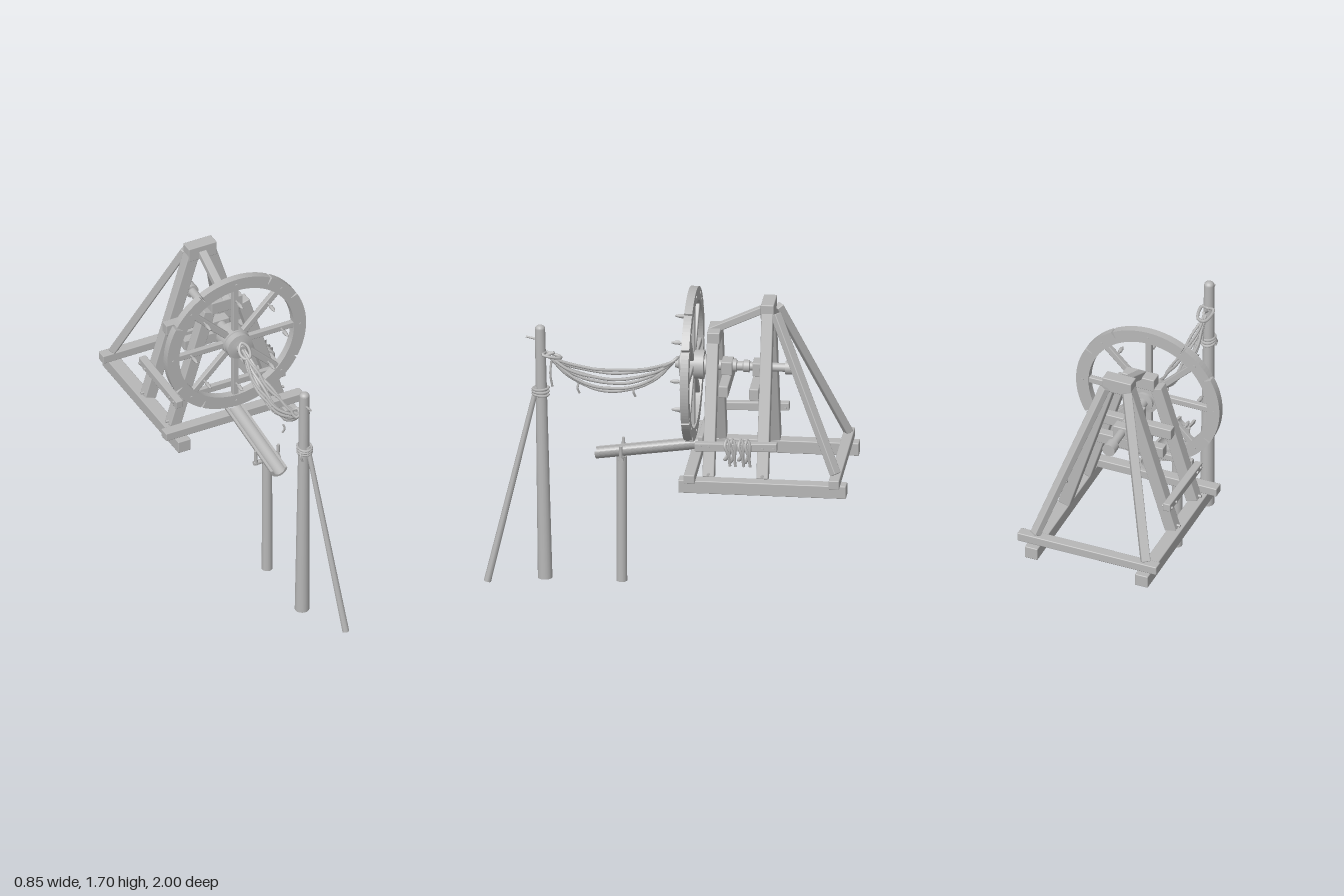
import * as THREE from 'three';
import { RoundedBoxGeometry } from 'three/addons/geometries/RoundedBoxGeometry.js';

const V = (x, y, z) => new THREE.Vector3(x, y, z);

export function createModel() {
  const root = new THREE.Group();
  root.name = 'ropeMakingWheel';
  const wood = new THREE.MeshStandardMaterial({ color: 0xb8b8b8 });
  wood.name = 'weathered grey';

  const add = (name, geometry, parent = root) => {
    const m = new THREE.Mesh(geometry, wood);
    m.name = name;
    parent.add(m);
    return m;
  };
  const box = (name, w, h, d, x, y, z) => {
    const m = add(name, new RoundedBoxGeometry(w, h, d, 1, 0.005));
    m.position.set(x, y, z);
    return m;
  };
  // squared timber running from a to b
  const beam = (name, a, b, w, h, up = V(0, 1, 0)) => {
    const m = add(name, new RoundedBoxGeometry(w, h, a.distanceTo(b), 1, 0.005));
    m.position.copy(a).lerp(b, 0.5);
    m.up.copy(up);
    m.lookAt(b);
    return m;
  };
  // round timber from a to b
  const rod = (name, a, b, r0, r1 = r0, sides = 12, parent = root) => {
    const m = add(name, new THREE.CylinderGeometry(r1, r0, a.distanceTo(b), sides), parent);
    m.position.copy(a).lerp(b, 0.5);
    m.quaternion.setFromUnitVectors(V(0, 1, 0), b.clone().sub(a).normalize());
    return m;
  };
  const rope = (name, pts, r, closed = false, seg = 24) =>
    add(name, new THREE.TubeGeometry(new THREE.CatmullRomCurve3(pts, closed), seg, r, 6, closed));

  // base
  for (const s of [-1, 1]) box('runner', 0.076, 0.073, 0.915, s * 0.325, 0.699, -0.5425);
  box('frontSill', 0.84, 0.05, 0.06, 0, 0.763, -0.15);
  box('backSill', 0.82, 0.05, 0.058, 0.01, 0.763, -0.94);

  // two A-frames with their caps
  for (const [z, top] of [[-0.247, 1.44], [-0.541, 1.62]]) {
    for (const s of [-1, 1]) {
      beam('frameLeg', V(s * 0.315, 0.745, z), V(s * (0.315 - (top - 0.745) * 0.305), top, z),
        0.068, 0.064, V(0, 0, 1));
    }
  }
  box('frontCap', 0.19, 0.075, 0.07, 0, 1.457, -0.247);
  box('backCap', 0.17, 0.085, 0.072, 0, 1.622, -0.541);
  beam('ridgeStrut', V(0, 1.475, -0.22), V(0, 1.615, -0.52), 0.046, 0.04);

  // rear braces, side rails and the bar between them
  for (const s of [-1, 1]) {
    beam('rearBrace', V(s * 0.325, 0.79, -0.94), V(s * 0.065, 1.61, -0.585), 0.05, 0.042);
    beam('sideRail', V(s * 0.312, 0.918, -0.17), V(s * 0.312, 0.932, -0.62), 0.044, 0.046);
    for (const z of [-0.2, -0.247, -0.541, -0.6])
      rod('railPin', V(s * 0.28, 0.925, z), V(s * 0.342, 0.925, z), 0.008, 0.008, 8);
    for (const z of [-0.247, -0.541])
      rod('footPin', V(s * 0.32, 0.77, z), V(s * 0.36, 0.77, z), 0.008, 0.008, 8);
  }
  box('frontTieBar', 0.58, 0.04, 0.028, 0, 0.945, -0.198);

  // bearings
  for (const [z, half] of [[-0.315, 0.22], [-0.485, 0.245]]) {
    box('bearingBeam', half * 2, 0.065, 0.052, 0, 1.202, z);
    box('bearingBlock', 0.1, 0.075, 0.06, 0, 1.272, z);
  }

  // axle and hub turned about one line
  const axlePts = [[0, -0.69], [0.037, -0.69], [0.037, -0.632], [0.024, -0.63], [0.024, -0.44],
    [0.034, -0.435], [0.034, -0.405], [0.026, -0.4], [0.026, -0.37], [0.034, -0.365],
    [0.034, -0.345], [0.028, -0.34], [0.028, -0.215], [0.055, -0.21], [0.055, -0.192],
    [0.08, -0.19], [0.08, -0.1], [0.075, -0.098], [0.075, -0.06], [0.05, -0.055],
    [0.028, -0.05], [0.022, -0.03], [0, -0.03]];
  // doubled points keep the turned edges crisp
  const crisp = axlePts.flatMap(([r, z]) => [new THREE.Vector2(r, z), new THREE.Vector2(r, z + 1e-5)]);
  const axle = add('axleAndHub', new THREE.LatheGeometry(crisp, 24));
  axle.rotation.x = Math.PI / 2;
  axle.position.y = 1.275;

  // wheel
  const wheel = new THREE.Group();
  wheel.name = 'wheel';
  wheel.position.set(0, 1.276, -0.123);
  root.add(wheel);
  const R = 0.4225, r = 0.349, rimShape = new THREE.Shape();
  const joints = [30, 60, 120, 150, 210, 240, 300, 330];
  for (let a = 0; a < 360; a += 3) {
    const at = (rad, deg) => {
      const t = THREE.MathUtils.degToRad(deg);
      rimShape[rimShape.curves.length || started ? 'lineTo' : 'moveTo'](rad * Math.cos(t), rad * Math.sin(t));
      started = true;
    };
    var started = a > 0 || started;
    if (joints.includes(a)) {
      at(R, a - 0.9);
      at(R - 0.042, a - 0.25);
      at(R - 0.042, a + 0.25);
      at(R, a + 0.9);
    } else at(R, a);
  }
  rimShape.holes.push(new THREE.Path().absarc(0, 0, r, 0, Math.PI * 2, true));
  add('rim', new THREE.ExtrudeGeometry(rimShape, { depth: 0.044, bevelEnabled: false, curveSegments: 60 }), wheel)
    .position.z = -0.022;
  // spokes with a tapered peg on each and a small pin in the rim
  const pegPts = [[0, 0], [0.006, 0], [0.006, 0.035], [0.012, 0.04], [0.011, 0.065], [0.004, 0.085], [0, 0.085]]
    .map(([x, y]) => new THREE.Vector2(x, y));
  for (let i = 0; i < 8; i++) {
    const arm = new THREE.Group();
    arm.name = 'spokeGroup';
    arm.rotation.z = i * Math.PI / 4;
    wheel.add(arm);
    add('spoke', new RoundedBoxGeometry(0.3, 0.036, 0.03, 1, 0.005), arm).position.x = 0.21;
    const peg = add('peg', new THREE.LatheGeometry(pegPts, 8), arm);
    peg.rotation.x = Math.PI / 2;
    peg.position.set(0.275, 0, 0.008);
    rod('rimPin', V(0.387, 0, -0.025), V(0.387, 0, 0.027), 0.008, 0.008, 8, arm);
  }

  // tall post, leaning slightly, with a rounded head
  const foot = V(0, 0, 0.68), head = V(0, 1.445, 0.708);
  rod('tallPost', foot, head, 0.04, 0.028, 16);
  const dome = add('postHead', new THREE.SphereGeometry(0.028, 16, 6, 0, Math.PI * 2, 0, Math.PI / 2));
  dome.position.copy(head);
  dome.scale.y = 0.8;
  rod('postPeg', V(0, 1.38, 0.7), V(0, 1.396, 0.785), 0.008, 0.006, 8);
  rod('ropePeg', V(0, 1.28, 0.7), V(0, 1.31, 0.63), 0.009, 0.009, 8);
  rod('postProp', V(0.112, 0.008, 0.983), V(0.012, 1.11, 0.725), 0.02, 0.014, 8);
  // lashing
  for (let i = 0; i < 3; i++) {
    const lash = add('lashing', new THREE.TorusGeometry(0.037, 0.007, 6, 20));
    lash.rotation.x = Math.PI / 2 + (i - 1) * 0.08;
    lash.position.set(0.003, 1.067 + i * 0.017, 0.704);
    lash.scale.y = 1.15;
  }
  rope('lashingEnd', [V(-0.03, 1.09, 0.72), V(-0.034, 1.06, 0.735), V(-0.025, 1.03, 0.735)], 0.006);

  // sagging strands between hub and post
  const strands = [[-0.035, 0.09], [0.035, 0.1], [-0.02, 0.145], [0.022, 0.16], [0, 0.06], [0.008, 0.18], [-0.03, 0.125]];
  strands.forEach(([x, sag], i) => {
    const pts = [];
    for (let k = 0; k <= 8; k++) {
      const t = k / 8, b = 4 * t * (1 - t);
      pts.push(V(x * Math.pow(b, 0.7) + 0.006 * Math.sin(k * 2 + i), 1.28 - sag * Math.pow(b, 0.85), -0.02 + t * 0.67));
    }
    rope('ropeStrand', pts, 0.0085, false, 32);
  });
  for (const [x, y, z, d] of [[0.008, 1.265, 0.645, 0.15], [-0.025, 1.13, 0.5, 0.06], [0.02, 1.14, 0.19, 0.06]])
    rope('ropeEnd', [V(x, y, z), V(x + 0.008, y - d / 2, z + 0.005), V(x, y - d, z - 0.005)], 0.006);
  // loops at both ends
  rope('postLoop', [V(0, 1.31, 0.68), V(0.034, 1.305, 0.69), V(0.02, 1.285, 0.6), V(-0.02, 1.28, 0.6), V(-0.034, 1.3, 0.69)], 0.009, true);
  rope('hubLoop', [V(0, 1.31, -0.045), V(0.025, 1.295, -0.02), V(0.015, 1.26, 0.03), V(-0.015, 1.255, 0.03), V(-0.025, 1.275, -0.02)], 0.009, true);

  // spare cord hung over the left rail
  [-0.345, -0.375, -0.42, -0.455].forEach((z, i) => {
    const x = 0.312, low = 0.85 - (i % 2) * 0.015;
    rope('hungCord', [V(x, 0.963, z), V(x + 0.03, 0.94, z + 0.008), V(x + 0.032, 0.88, z - 0.01),
      V(x + 0.012, low, z + 0.012), V(x - 0.025, 0.88, z - 0.008), V(x - 0.03, 0.94, z)], 0.009, true);
    rope('hungCordEnd', [V(x + 0.026, 0.975, z - 0.01), V(x + 0.035, 0.94, z - 0.02), V(x + 0.03, 0.86, z - 0.016),
      V(x + 0.026, 0.82, z - 0.02)], 0.008);
  });

  // trough on its short post
  rod('troughPost', V(0, 0, 0.262), V(0, 0.725, 0.262), 0.03, 0.028, 14);
  const half = new THREE.Shape();
  half.absarc(0, 0, 0.05, Math.PI, Math.PI * 2, false);
  half.absarc(0, 0, 0.036, Math.PI * 2, Math.PI, true);
  half.closePath();
  const trough = add('trough', new THREE.ExtrudeGeometry(half, { depth: 0.567, bevelEnabled: false, curveSegments: 10 }));
  trough.position.set(0, 0.835, -0.155);
  trough.rotation.x = Math.atan2(0.08, 0.56);
  rod('troughRest', V(-0.08, 0.725, 0.258), V(0.08, 0.725, 0.258), 0.013, 0.013, 8);
  for (const s of [-1, 1]) rod('troughPeg', V(s * 0.065, 0.715, 0.26), V(s * 0.07, 0.805, 0.26), 0.011, 0.009, 8);
  return root;
}
